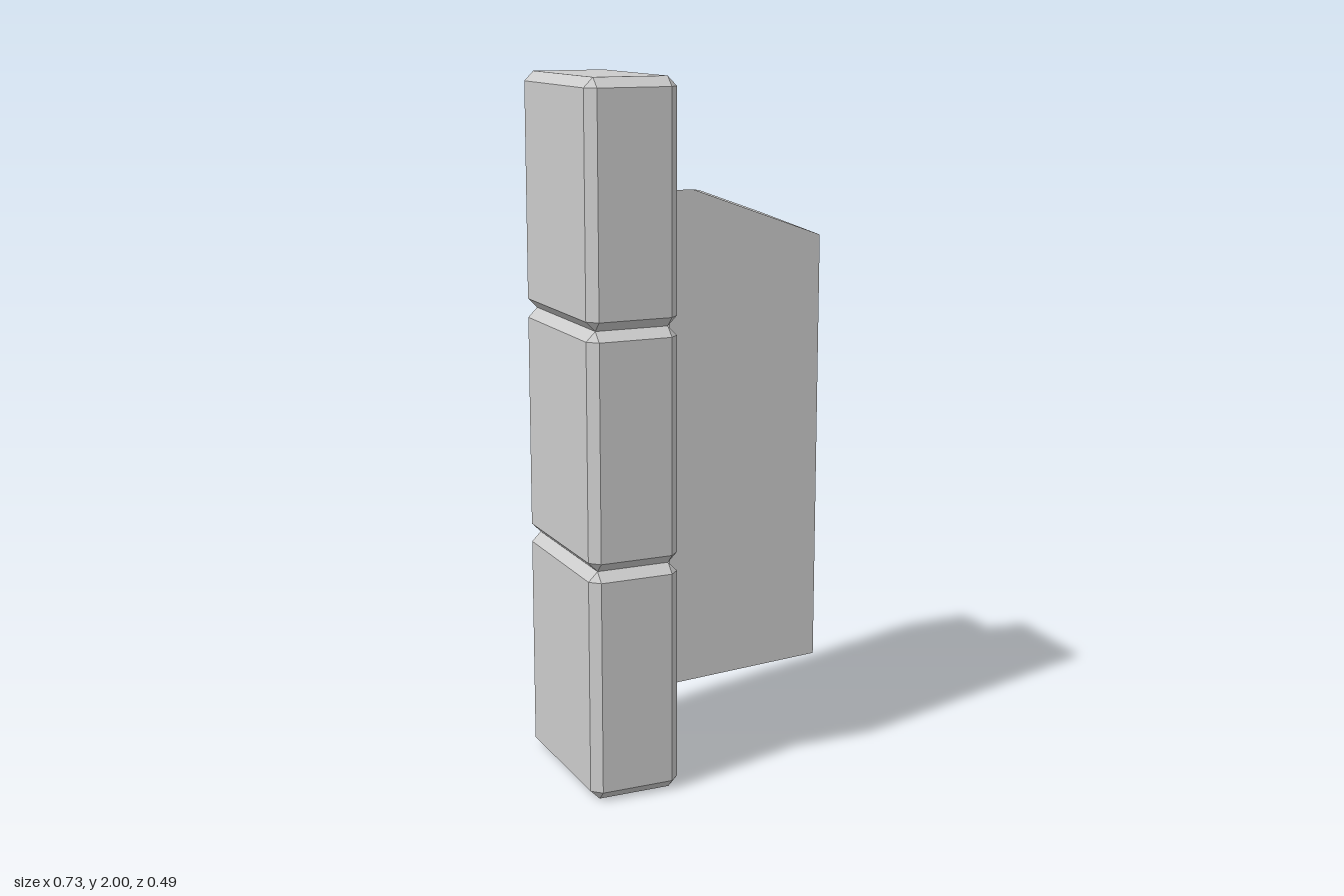
import * as THREE from 'three';
import { ConvexGeometry } from 'three/addons/geometries/ConvexGeometry.js';

const hull = (pts) => new ConvexGeometry(pts.map((p) => new THREE.Vector3(...p)));

// Box with every edge and corner chamfered by b
function chamferedBox(w, h, d, b) {
  const half = [w / 2, h / 2, d / 2];
  const pts = [];
  for (const sx of [-1, 1]) for (const sy of [-1, 1]) for (const sz of [-1, 1]) {
    const s = [sx, sy, sz];
    for (let axis = 0; axis < 3; axis++) {
      pts.push(half.map((v, i) => s[i] * (i === axis ? v : v - b)));
    }
  }
  return hull(pts);
}

export function createModel() {
  const group = new THREE.Group();
  const grey = new THREE.MeshStandardMaterial({ color: 0xcccccc });
  grey.name = 'light grey';

  // Three stacked chamfered blocks form the upright slab
  const blockHeight = 2 / 3;
  const block = chamferedBox(0.266, blockHeight, 0.494, 0.027);
  ['lowerBlock', 'middleBlock', 'upperBlock'].forEach((name, i) => {
    const mesh = new THREE.Mesh(block, grey);
    mesh.name = name;
    mesh.position.set(-0.23, blockHeight * (i + 0.5), 0);
    group.add(mesh);
  });

  // Side fin: slanted underside, and a top folded along a diagonal ridge
  const z = 0.177;
  const inner = -0.1, outer = 0.363;
  const front = [[inner, 0.29], [outer, 0.315], [outer, 1.551], [-0.03, 1.694], [inner, 1.694]];
  const back = [[inner, 0.225], [outer, 0.25], [outer, 1.576], [0.157, 1.651], [inner, 1.651]];
  const fin = new THREE.Mesh(
    hull([...front.map((p) => [...p, z]), ...back.map((p) => [...p, -z])]), grey);
  fin.name = 'sideFin';
  group.add(fin);

  return group;
}
